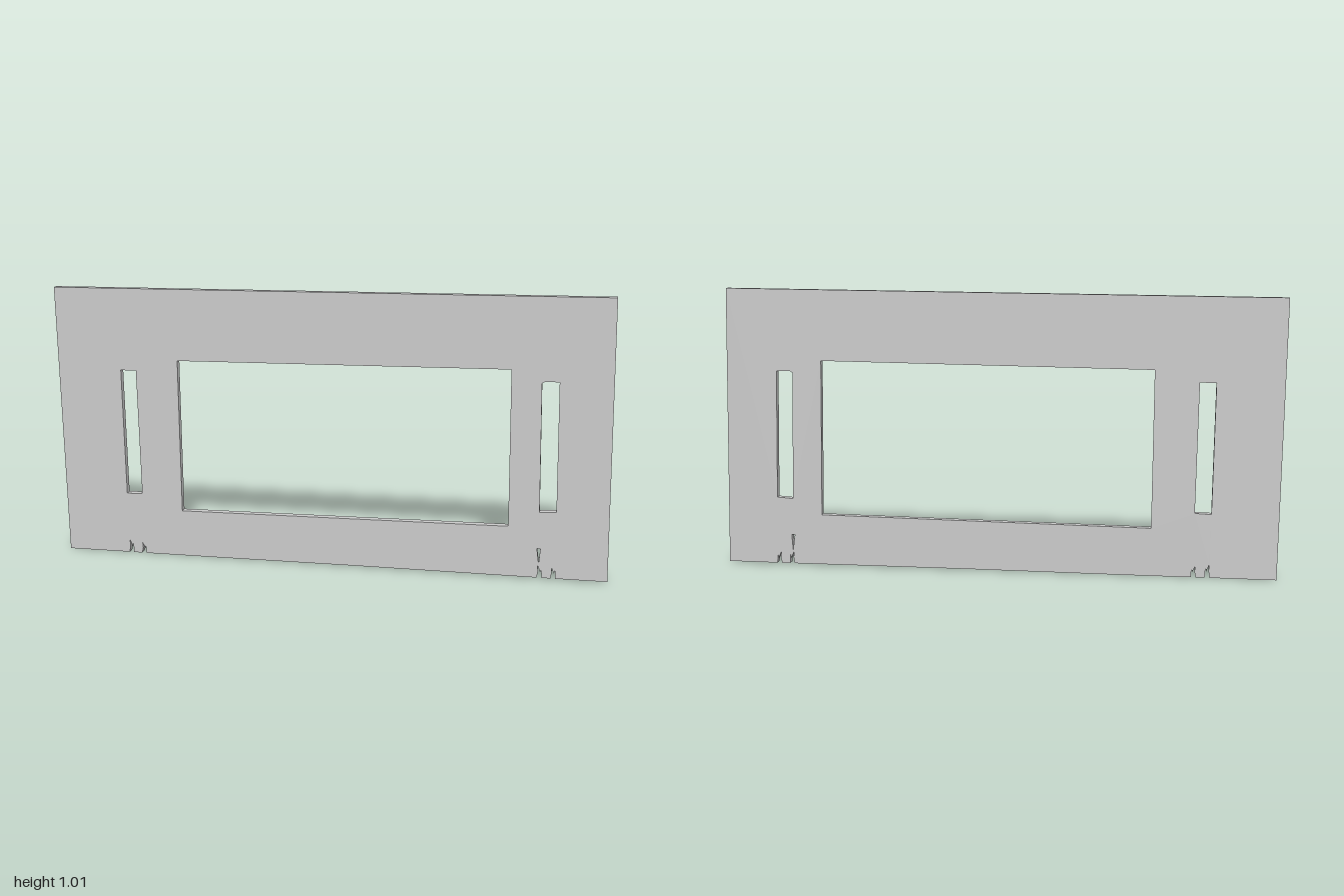
import * as THREE from 'three';

const DEPTH = 0.026;

// Closed path from corner points
const path = (pts, Type = THREE.Path) => new Type(pts.map(([x, y]) => new THREE.Vector2(x, y)));

// Narrow tapering nick cut up from the bottom edge, left to right
const nick = (x, y, height) => [
  [x - 0.009, y], [x - 0.005, y + height * 0.5], [x - 0.007, y + height],
  [x + 0.003, y + height * 0.45], [x + 0.006, y + height * 0.75], [x + 0.008, y],
];

export function createModel() {
  const group = new THREE.Group();

  // Slightly skewed plate outline with two pairs of nicks
  const outline = path([
    [-0.987, 0.003],
    ...nick(-0.745, 0.004, 0.05), ...nick(-0.696, 0.004, 0.042),
    [-0.41, 0.005], [0.1, 0.008],
    ...nick(0.763, 0.009, 0.045), ...nick(0.811, 0.009, 0.042),
    [1, 0.01], [0.982, 1.015], [-1, 0.995],
  ], THREE.Shape);

  // Large window, two tall slots and a small wedge hole
  outline.holes = [
    [[-0.545, 0.178], [-0.548, 0.742], [0.64, 0.758], [0.648, 0.194]],
    [[-0.755, 0.234], [-0.761, 0.7], [-0.704, 0.7], [-0.697, 0.236]],
    [[0.755, 0.252], [0.745, 0.714], [0.756, 0.72], [0.804, 0.72], [0.813, 0.256]],
    [[0.759, 0.06], [0.751, 0.118], [0.763, 0.116]],
  ].map((pts) => path(pts));

  const geometry = new THREE.ExtrudeGeometry(outline, { depth: DEPTH, bevelEnabled: false });
  geometry.translate(0, 0, -DEPTH / 2);
  const plate = new THREE.Mesh(geometry, new THREE.MeshStandardMaterial({ color: 0xcccccc, flatShading: true }));
  plate.name = 'framePlate';
  group.add(plate);
  return group;
}
